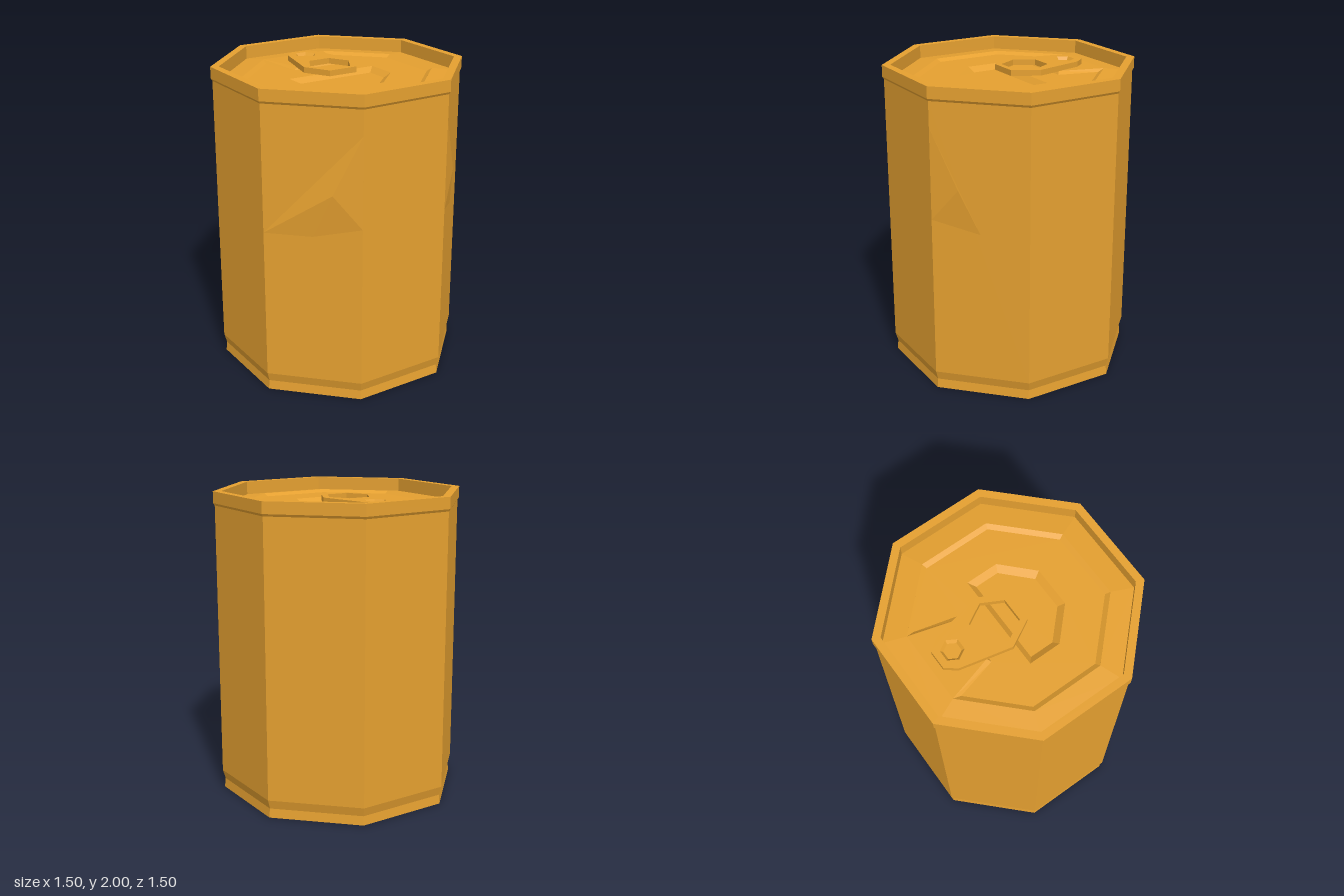
import * as THREE from 'three';

const paint = new THREE.MeshStandardMaterial({ color: 0xe5a030, flatShading: true, side: THREE.DoubleSide });

function add(group, name, geometry) {
  const g = geometry.index ? geometry.toNonIndexed() : geometry;
  g.computeVertexNormals();
  const mesh = new THREE.Mesh(g, paint);
  mesh.name = name;
  group.add(mesh);
  return mesh;
}

// Triangles from a flat list of Vector3 corners
const faces = (pts) => new THREE.BufferGeometry().setFromPoints(pts);

// Outlines are [x, z] loops, running +x along the front edge
const toPath = (loop) => loop.map(([x, z]) => new THREE.Vector2(x, -z));
function toShape(loop, holes = []) {
  const s = new THREE.Shape(toPath(loop));
  holes.forEach((h) => s.holes.push(new THREE.Path(toPath(h))));
  return s;
}

// Flat horizontal sheet facing up
const plate = (loop, y, holes) =>
  new THREE.ShapeGeometry(toShape(loop, holes)).rotateX(-Math.PI / 2).translate(0, y, 0);

// Sloped wall between an upper outer loop and a lower inner loop
function wall(top, yTop, bottom, yBottom) {
  const pts = [];
  top.forEach((p, i) => {
    const j = (i + 1) % top.length;
    const a = new THREE.Vector3(p[0], yTop, p[1]);
    const b = new THREE.Vector3(top[j][0], yTop, top[j][1]);
    const c = new THREE.Vector3(bottom[j][0], yBottom, bottom[j][1]);
    const d = new THREE.Vector3(bottom[i][0], yBottom, bottom[i][1]);
    pts.push(a, b, d, b, c, d);
  });
  return faces(pts);
}

// Completes a left-right symmetric loop from its +x half (front to back)
const mirrored = (half) => [...half, ...half.map(([x, z]) => [-x, z]).reverse()];

const hexagon = (r, z0) => Array.from({ length: 6 }, (_, i) => {
  const t = (i * Math.PI) / 3;
  return [r * Math.cos(t), z0 - r * Math.sin(t)];
});

// Crumpled corner on a front diagonal panel: shallow pyramid over a base of [u, y]
function dent(group, name, side, base) {
  const at = (u, y, out = 0) => new THREE.Vector3(
    side * (0.3065 + u * 0.4335 + out * Math.SQRT1_2), y, 0.74 - u * 0.4335 + out * Math.SQRT1_2);
  const peak = at(0.29, 1.38, 0.025);
  const pts = [];
  base.forEach((p, i) => {
    const a = at(...p), b = at(...base[(i + 1) % base.length]);
    pts.push(...(side > 0 ? [a, b, peak] : [b, a, peak]));
  });
  add(group, name, faces(pts));
}

export function createModel() {
  const can = new THREE.Group();
  can.name = 'drinkCan';

  // Octagonal shell: base rings, side, rim and outer lid, as [apothem, y]
  const profile = [
    [0, 0.095], [0.3, 0.095], [0.34, 0.075], [0.53, 0.075], [0.57, 0.05], [0.68, 0.05], [0.695, 0],
    [0.73, 0], [0.724, 0.06], [0.74, 0.12], [0.74, 1.91], [0.749, 1.925], [0.749, 2],
    [0.7, 2], [0.7, 1.915], [0.565, 1.93],
  ].map(([a, y]) => new THREE.Vector2(a / Math.cos(Math.PI / 8), y));
  add(can, 'shell', new THREE.LatheGeometry(profile, 8, Math.PI / 8));

  // Dents
  dent(can, 'leftDent', 1, [[0, 1.75], [0, 1.17], [0.5, 1.1]]);
  dent(can, 'rightDent', -1, [[0, 1.75], [0, 1.17], [0.5, 1.1], [1, 1.1]]);

  // Sunken lid panel with a raised tongue at the back
  const lidY = 1.93, panelY = 1.912, mouthY = 1.88;
  const panelTop = mirrored([[0.234, 0.565], [0.565, 0.234], [0.565, -0.234], [0.234, -0.565], [0.15, -0.27]]);
  const panelFoot = mirrored([[0.222, 0.535], [0.535, 0.222], [0.535, -0.222], [0.242, -0.515], [0.175, -0.255]]);
  const tongue = [[-0.15, -0.27], [0.15, -0.27], [0.234, -0.565], [-0.234, -0.565]];
  const mouthTop = mirrored([[0.13, 0.31], [0.315, 0.13], [0.315, -0.08]]);
  const mouthFoot = mirrored([[0.11, 0.27], [0.275, 0.11], [0.275, -0.045]]);
  add(can, 'panelWall', wall(panelTop, lidY, panelFoot, panelY));
  add(can, 'panel', plate(panelFoot, panelY, [mouthTop]));
  add(can, 'tongue', plate(tongue, lidY));
  add(can, 'mouthWall', wall(mouthTop, panelY, mouthFoot, mouthY));
  add(can, 'mouthFloor', plate(mouthFoot, mouthY));

  // Pull tab with finger hole and rivet dimple
  const tab = new THREE.Group();
  tab.name = 'pullTab';
  const tabTop = 1.965, thick = 0.037;
  const outline = mirrored([[0.1, 0.055], [0.19, -0.11], [0.115, -0.44], [0.06, -0.51]]);
  const fingerHole = mirrored([[0.075, 0.02], [0.145, -0.11], [0.075, -0.235]]);
  const dimpleTop = hexagon(0.072, -0.405), dimpleFoot = hexagon(0.054, -0.405);
  const body = new THREE.ExtrudeGeometry(toShape(outline, [fingerHole, dimpleTop]), { depth: thick, bevelEnabled: false });
  add(tab, 'tabBody', body.rotateX(-Math.PI / 2).translate(0, tabTop - thick, 0));
  add(tab, 'dimpleWall', wall(dimpleTop, tabTop, dimpleFoot, tabTop - 0.02));
  add(tab, 'dimpleFloor', plate(dimpleFoot, tabTop - 0.02));
  can.add(tab);

  return can;
}
